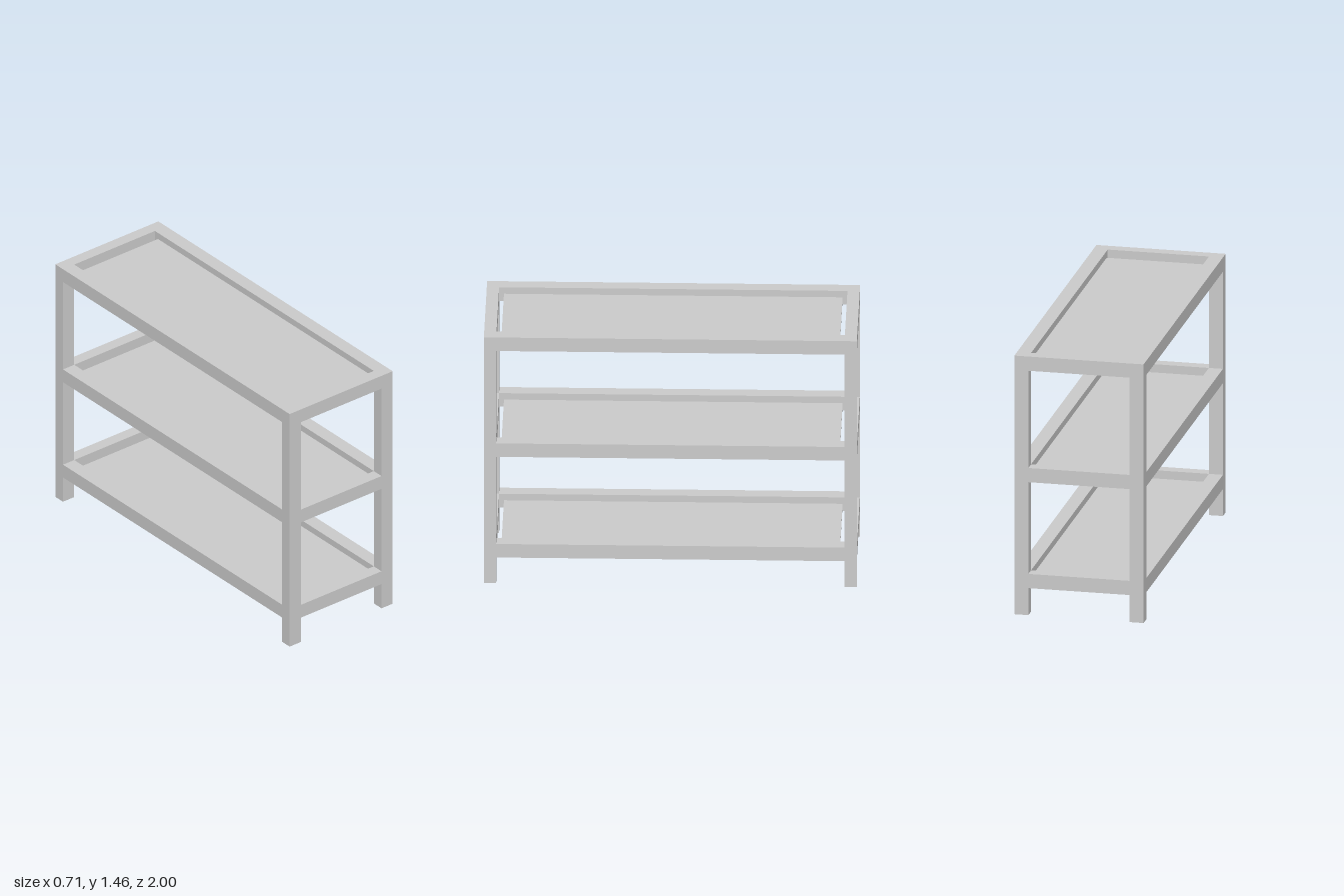
import * as THREE from 'three';

const W = 0.71, D = 2, H = 1.455;      // overall size
const PX = 0.077, PZ = 0.066;          // post section
const RAIL = 0.08;                     // rail height
const TIERS = [0.152, 0.748, H - RAIL]; // underside of each rail frame

export function createModel() {
  const model = new THREE.Group();
  model.name = 'shelfRack';
  const material = new THREE.MeshStandardMaterial({ color: 0xcccccc });

  const box = (parent, name, size, pos) => {
    const mesh = new THREE.Mesh(new THREE.BoxGeometry(...size), material);
    mesh.name = name;
    mesh.position.set(...pos);
    parent.add(mesh);
  };

  const px = (W - PX) / 2, pz = (D - PZ) / 2;

  // Four corner posts
  for (const x of [-1, 1]) for (const z of [-1, 1]) {
    const name = (z > 0 ? 'front' : 'back') + (x > 0 ? 'Left' : 'Right') + 'Post';
    box(model, name, [PX, H, PZ], [x * px, H / 2, z * pz]);
  }

  // Three shelves: a rail frame with a recessed panel, leaving a slot at each end
  TIERS.forEach((y, i) => {
    const shelf = new THREE.Group();
    shelf.name = ['bottomShelf', 'middleShelf', 'topShelf'][i];
    shelf.position.y = y;
    for (const s of [-1, 1]) {
      box(shelf, s > 0 ? 'leftRail' : 'rightRail', [PX, RAIL, D - 2 * PZ], [s * px, RAIL / 2, 0]);
      box(shelf, s > 0 ? 'frontRail' : 'backRail', [W - 2 * PX, RAIL, PZ], [0, RAIL / 2, s * pz]);
    }
    box(shelf, 'panel', [W - 2 * PX, 0.012, 1.816], [0, 0.036, 0]);
    model.add(shelf);
  });

  return model;
}
